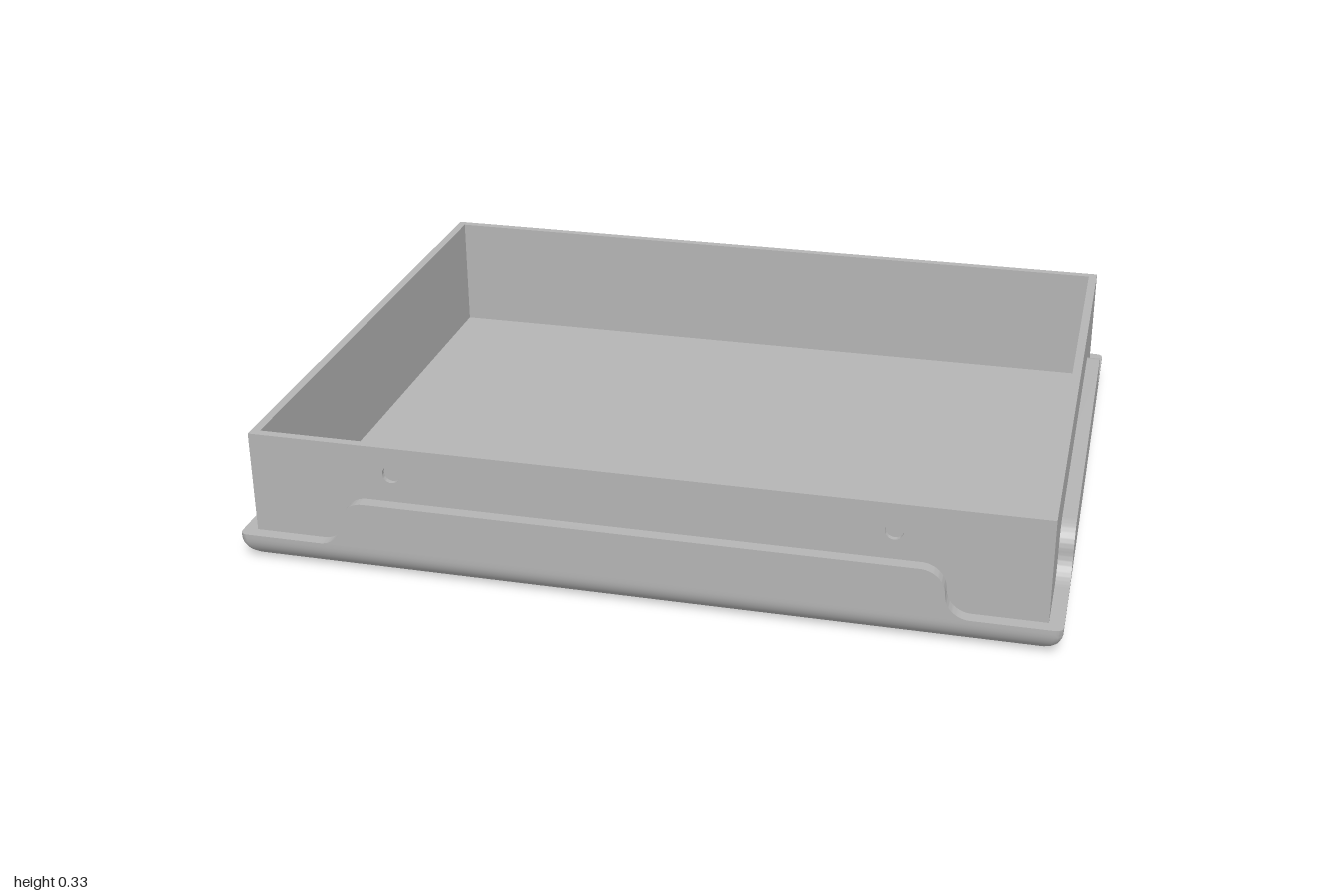
import * as THREE from 'three';
import { toCreasedNormals } from 'three/addons/utils/BufferGeometryUtils.js';

const HX = 1, HZ = 0.79;        // half size of the base
const WX = 0.965, WZ = 0.758;   // half size of the walls
const WALL = 0.022, TOP = 0.332, FLOOR = 0.025, LEDGE = 0.07, LIP = 0.19;

// Rounded rectangle in the ground plane, four points per corner
function loop(hx, hz, r) {
  const pts = [];
  const corners = [[1, 1], [-1, 1], [-1, -1], [1, -1]];
  corners.forEach(([sx, sz], k) => {
    for (let i = 0; i < 4; i++) {
      const a = (k + i / 3) * Math.PI / 2;
      pts.push([sx * (hx - r) + r * Math.cos(a), sz * (hz - r) + r * Math.sin(a)]);
    }
  });
  return pts;
}

// Base: flat bottom, rounded lower edge, flat ledge on top
function baseGeometry() {
  const rings = [{ pts: loop(0, 0, 0), y: 0 }];
  const R = 0.06;
  for (let i = 0; i <= 10; i++) {
    const a = i / 10 * Math.PI / 2;
    const inset = R * (1 - Math.sin(a));
    rings.push({ pts: loop(HX - inset, HZ - inset, 0.018), y: R * (1 - Math.cos(a)) });
  }
  rings.push({ pts: loop(HX, HZ, 0.018), y: LEDGE });
  rings.push({ pts: loop(HX - 0.05, HZ - 0.05, 0.01), y: LEDGE });
  const n = rings[0].pts.length, pos = [], idx = [];
  rings.forEach(({ pts, y }) => pts.forEach(([x, z]) => pos.push(x, y, z)));
  for (let i = 0; i < rings.length - 1; i++) {
    for (let j = 0; j < n; j++) {
      const a = i * n + j, b = i * n + (j + 1) % n;
      if (i > 0) idx.push(a, a + n, b + n, a, b + n, b);
      else idx.push(a, a + n, b + n);
    }
  }
  const g = new THREE.BufferGeometry();
  g.setAttribute('position', new THREE.Float32BufferAttribute(pos, 3));
  g.setIndex(idx);
  return toCreasedNormals(g, 0.6);
}

// Raised lip with S-curved ends; half is where the lower curve meets the ledge
function lipGeometry(half, depth) {
  const r = (LIP - LEDGE) / 2, mid = LEDGE + r;
  const s = new THREE.Shape();
  s.moveTo(-half, LEDGE);
  s.lineTo(half, LEDGE);
  s.absarc(half, mid, r, -Math.PI / 2, -Math.PI, true);
  s.absarc(half - 2 * r, mid, r, 0, Math.PI / 2, false);
  s.lineTo(-half + 2 * r, LIP);
  s.absarc(-half + 2 * r, mid, r, Math.PI / 2, Math.PI, false);
  s.absarc(-half, mid, r, 0, -Math.PI / 2, true);
  const g = new THREE.ExtrudeGeometry(s, { depth, bevelEnabled: false, curveSegments: 12 });
  return toCreasedNormals(g, 0.6);
}

// Outer skin of a long wall with two round recesses
function recessedSkin(depth) {
  const s = new THREE.Shape();
  s.moveTo(-WX, FLOOR);
  s.lineTo(WX, FLOOR);
  s.lineTo(WX, TOP);
  s.lineTo(-WX, TOP);
  for (const x of [-0.605, 0.605]) {
    s.holes.push(new THREE.Path().absarc(x, 0.262, 0.022, 0, Math.PI * 2, true));
  }
  const g = new THREE.ExtrudeGeometry(s, { depth, bevelEnabled: false, curveSegments: 16 });
  return toCreasedNormals(g, 0.6);
}

export function createModel() {
  const grey = new THREE.MeshStandardMaterial({ color: 0xb4b4b4 });
  grey.name = 'grey';
  const model = new THREE.Group();
  model.name = 'tray';

  const add = (parent, name, geometry, x = 0, y = 0, z = 0) => {
    const m = new THREE.Mesh(geometry, grey);
    m.name = name;
    m.position.set(x, y, z);
    parent.add(m);
    return m;
  };

  add(model, 'base', baseGeometry());
  add(model, 'floor', new THREE.BoxGeometry(2 * WX - 0.01, 0.015, 2 * WZ - 0.01), 0, FLOOR - 0.0075, 0);

  // Front and back: wall with recesses, and lip
  const h = TOP - FLOOR, skin = 0.012, inner = WALL - skin;
  for (const [name, turn] of [['front', 0], ['back', Math.PI]]) {
    const side = new THREE.Group();
    side.name = name + 'Side';
    side.rotation.y = turn;
    add(side, name + 'WallSkin', recessedSkin(skin), 0, 0, WZ - skin);
    add(side, name + 'WallLiner', new THREE.BoxGeometry(2 * WX, h, inner), 0, FLOOR + h / 2, WZ - skin - inner / 2);
    add(side, name + 'Lip', lipGeometry(0.79, HZ - WZ), 0, 0, WZ);
    model.add(side);
  }

  // Left and right: plain wall, and lip
  for (const [name, turn] of [['left', Math.PI / 2], ['right', -Math.PI / 2]]) {
    const side = new THREE.Group();
    side.name = name + 'Side';
    side.rotation.y = turn;
    add(side, name + 'Wall', new THREE.BoxGeometry(2 * (WZ - WALL), h, WALL), 0, FLOOR + h / 2, WX - WALL / 2);
    add(side, name + 'Lip', lipGeometry(0.59, HX - WX), 0, 0, WX);
    model.add(side);
  }
  return model;
}
